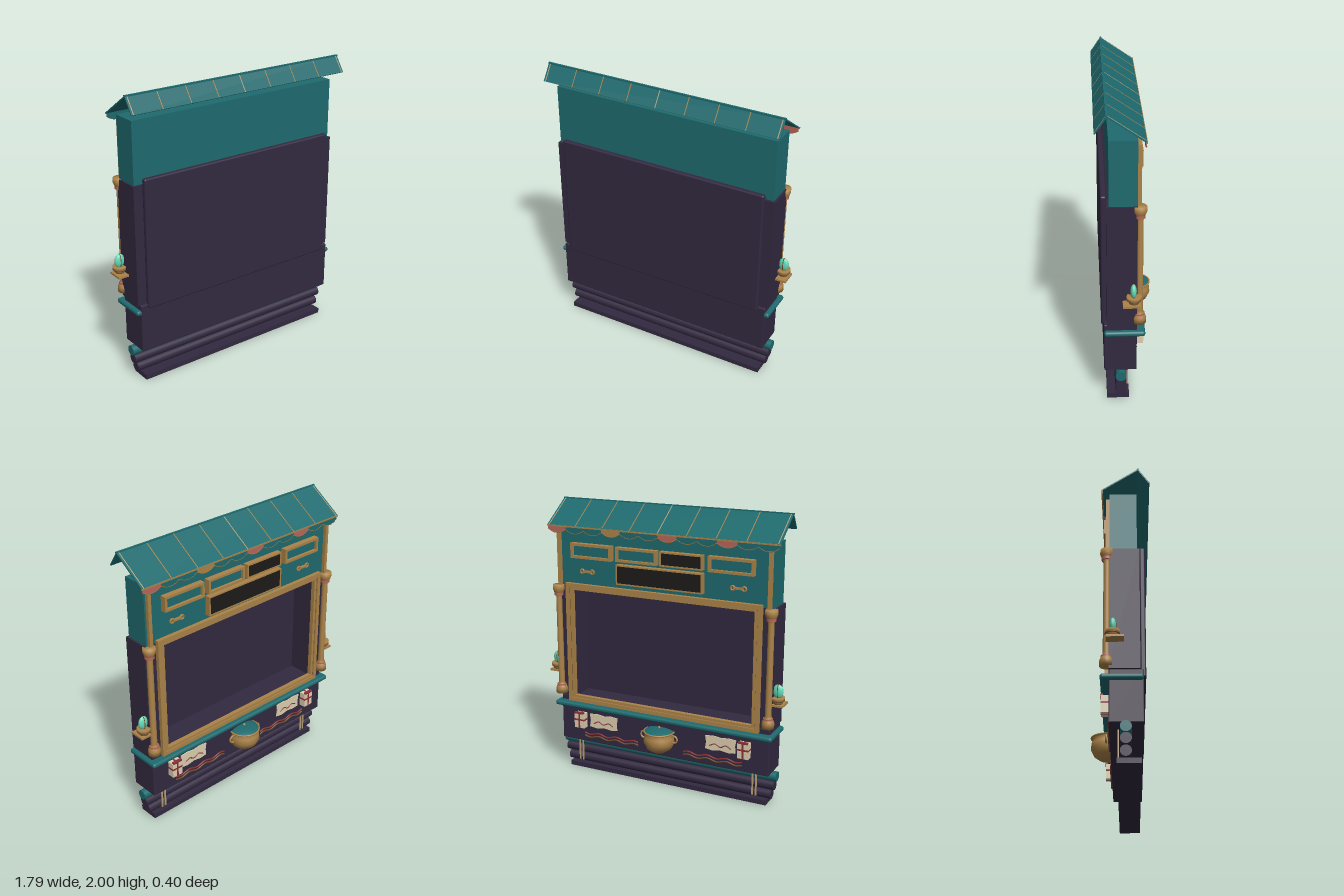
import * as THREE from 'three';
import { RoundedBoxGeometry } from 'three/addons/geometries/RoundedBoxGeometry.js';

const mat = (name, color) => {
  const m = new THREE.MeshStandardMaterial({ color, side: THREE.DoubleSide });
  m.name = name;
  return m;
};

export function createModel() {
  const root = new THREE.Group();
  root.name = 'stall';
  const teal = mat('teal', 0x1e6a6e), plum = mat('plum', 0x322940), gold = mat('gold', 0xab8349),
    black = mat('black', 0x1c1b19), mint = mat('mint', 0x66d9b8), coral = mat('coral', 0xb8655a),
    cream = mat('cream', 0xdccfb0), red = mat('red', 0x8c3038), brown = mat('brown', 0x6e4c2c),
    paleGold = mat('paleGold', 0xb8a078);

  const add = (name, geo, m, x = 0, y = 0, z = 0) => {
    const mesh = new THREE.Mesh(geo, m);
    mesh.name = name;
    mesh.position.set(x, y, z);
    root.add(mesh);
    return mesh;
  };
  const box = (name, m, w, h, d, x, y, z) => add(name, new THREE.BoxGeometry(w, h, d), m, x, y, z);
  const round = (name, m, w, h, d, x, y, z, r) =>
    add(name, new RoundedBoxGeometry(w, h, d, 3, r), m, x, y, z);
  const lathe = (name, m, pts, x, y, z) =>
    add(name, new THREE.LatheGeometry(pts.map(p => new THREE.Vector2(...p)), 24), m, x, y, z);
  const tube = (name, m, pts, r) => add(name, new THREE.TubeGeometry(
    new THREE.CatmullRomCurve3(pts.map(p => new THREE.Vector3(...p))), pts.length * 4, r, 6), m);
  // rectangular picture-frame moulding, w and h are the outer size
  const frame = (name, m, w, h, t, d, x, y, z) => {
    const rect = (S, a, b) => {
      const s = new S();
      s.moveTo(-a, -b); s.lineTo(a, -b); s.lineTo(a, b); s.lineTo(-a, b); s.closePath();
      return s;
    };
    const shape = rect(THREE.Shape, w / 2, h / 2);
    shape.holes.push(rect(THREE.Path, w / 2 - t, h / 2 - t));
    add(name, new THREE.ExtrudeGeometry(shape, { depth: d, bevelEnabled: false }), m, x, y, z - d / 2);
  };

  // base plank and stacked logs
  box('basePlank', plum, 1.56, 0.035, 0.145, 0, 0.0175, 0.06);
  [[0.07, 1.61, plum], [0.14, 1.65, plum], [0.207, 1.68, teal]].forEach(([y, len, m]) => {
    add('log', new THREE.CylinderGeometry(0.035, 0.035, len, 24), m, 0, y, 0.042).rotation.z = Math.PI / 2;
  });

  // body
  round('lowerCabinet', plum, 1.62, 0.34, 0.21, 0, 0.41, 0.045, 0.006);
  round('ledge', teal, 1.68, 0.036, 0.262, 0, 0.525, 0.018, 0.016);
  round('backPanel', plum, 1.52, 0.905, 0.037, 0, 1.0025, 0.147, 0.012);
  box('upperCabinet', teal, 1.62, 0.42, 0.175, 0, 1.62, 0.0275);

  // gold mouldings round the opening
  frame('openingTrimOuter', gold, 1.475, 0.88, 0.028, 0.035, 0, 0.99, -0.07);
  frame('openingTrimInner', gold, 1.41, 0.825, 0.02, 0.03, 0, 0.99, -0.065);
  frame('openingTrimLine', brown, 1.424, 0.838, 0.01, 0.03, 0, 0.99, -0.062);

  for (const s of [-1, 1]) {
    box('sideWall', plum, 0.125, 0.83, 0.19, s * 0.76, 0.995, 0.035);
    box('cornerStrip', gold, 0.025, 0.39, 0.025, s * 0.785, 1.605, -0.072);

    // column with broad cap and foot
    lathe('column', gold, [[0, 0.6], [0.042, 0.6], [0.043, 0.635], [0.036, 0.655], [0.027, 0.67],
      [0.022, 0.685], [0.021, 1.32], [0.026, 1.34], [0.036, 1.36], [0.043, 1.38], [0.042, 1.41],
      [0, 1.41]], s * 0.8, 0, -0.075);
    for (const [y, r, h] of [[0.662, 0.034, 0.014], [1.346, 0.033, 0.024]])
      add('columnRing', new THREE.CylinderGeometry(r, r, h, 24), coral, s * 0.8, y, -0.075);

    // side shelf, bowl and banded egg
    box('sideShelf', gold, 0.09, 0.014, 0.11, s * 0.852, 0.761, -0.023);
    lathe('bowl', gold, [[0, 0.766], [0.03, 0.766], [0.036, 0.78], [0.046, 0.8], [0.047, 0.815],
      [0, 0.808]], s * 0.85, 0, -0.038);
    add('bowlBand', new THREE.TorusGeometry(0.043, 0.004, 6, 24), brown, s * 0.85, 0.792, -0.038)
      .rotation.x = Math.PI / 2;
    add('egg', new THREE.SphereGeometry(1, 20, 14), mint, s * 0.85, 0.852, -0.035).scale.set(0.036, 0.048, 0.02);
    const band = add('eggBand', new THREE.TorusGeometry(0.048, 0.003, 6, 24), brown, s * 0.85, 0.852, -0.035);
    band.scale.x = 0.42;
    band.rotation.y = Math.PI / 2;

    // wrapped gift with ribbon
    box('gift', cream, 0.08, 0.11, 0.05, s * 0.64, 0.412, -0.085);
    box('giftRibbonUpright', red, 0.013, 0.114, 0.054, s * 0.64, 0.412, -0.085);
    box('giftRibbonAcross', red, 0.084, 0.012, 0.054, s * 0.64, 0.42, -0.085);
    box('giftBow', red, 0.07, 0.012, 0.02, s * 0.64, 0.472, -0.105);

    // torn sheet with a wavy line
    const sheet = new THREE.Shape();
    sheet.moveTo(-0.11, -0.048);
    [[-0.06, -0.054], [0, -0.045], [0.06, -0.056], [0.115, -0.048], [0.107, 0], [0.115, 0.048],
      [0.05, 0.053], [0, 0.046], [-0.06, 0.053], [-0.115, 0.048], [-0.107, 0]].forEach(p => sheet.lineTo(...p));
    add('sheet', new THREE.ExtrudeGeometry(sheet, { depth: 0.007, bevelEnabled: false }), cream,
      s * 0.46, 0.415, -0.069);
    tube('sheetLine', red, [-0.08, -0.04, 0, 0.04, 0.08].map((x, i) =>
      [s * 0.46 + x, 0.402 + (i % 2 ? 0.01 : -0.008), -0.07]), 0.004);

    // garlands
    [red, brown].forEach((m, k) => {
      const pts = [];
      for (let i = 0; i <= 16; i++)
        pts.push([s * (0.18 + i * 0.0275), 0.308 - k * 0.022 + 0.008 * Math.sin(i * 1.2), -0.066]);
      tube('garland', m, pts, 0.006);
    });

    // hanging ties over the logs
    for (const dx of [-0.013, 0.013])
      box('tie', paleGold, 0.011, 0.175, 0.008, s * 0.69 + dx, 0.145, -0.004);

    // small scroll handle on the upper cabinet
    for (const dx of [-0.04, 0.04])
      add('scroll', new THREE.TorusGeometry(0.014, 0.007, 6, 16), gold, s * 0.566 + dx, 1.52, -0.068);
    box('scrollBar', gold, 0.07, 0.014, 0.016, s * 0.566, 1.52, -0.068);
  }

  // framed panels on the upper cabinet
  for (const [x, y, w, h, m, t] of [[0.52, 1.668, 0.32, 0.105, teal, 0.018], [0.17, 1.669, 0.31, 0.1, teal, 0.016],
    [-0.165, 1.669, 0.31, 0.1, black, 0.011], [-0.52, 1.668, 0.32, 0.105, teal, 0.018],
    [0, 1.53, 0.645, 0.138, black, 0.01]]) {
    frame('panelFrame', gold, w, h, t, 0.04, x, y, -0.08);
    box('panelFill', m, w - t * 1.8, h - t * 1.8, 0.03, x, y, m === black ? -0.082 : -0.066);
  }

  // pot with lid and ring handles
  lathe('pot', gold, [[0, 0.282], [0.05, 0.287], [0.09, 0.315], [0.111, 0.36], [0.107, 0.4], [0.092, 0.425],
    [0.106, 0.438]], 0, 0, -0.085);
  add('potRim', new THREE.TorusGeometry(0.107, 0.006, 8, 32), gold, 0, 0.438, -0.085).rotation.x = Math.PI / 2;
  lathe('potLid', teal, [[0.105, 0.441], [0.085, 0.451], [0.045, 0.459], [0, 0.461]], 0, 0, -0.085);
  add('lidKnob', new THREE.SphereGeometry(0.01, 12, 8), gold, 0, 0.465, -0.085);
  for (const s of [-1, 1])
    add('potHandle', new THREE.TorusGeometry(0.026, 0.007, 8, 20), gold, s * 0.115, 0.395, -0.09);

  // thin slab spanning two points of the side profile
  const slope = (name, m, w, t, x, z1, y1, z2, y2, lift = 0) => {
    const len = Math.hypot(z2 - z1, y2 - y1);
    box(name, m, w, t, len, x, (y1 + y2) / 2 + lift, (z1 + z2) / 2).rotation.x = -Math.atan2(y2 - y1, z2 - z1);
  };
  const long = [-0.108, 1.835, 0.125, 1.993], short = [0.125, 1.993, 0.196, 1.89];
  slope('roofLong', teal, 1.71, 0.008, 0, ...long);
  slope('roofShort', teal, 1.71, 0.008, 0, ...short);
  box('roofRidge', teal, 1.714, 0.01, 0.014, 0, 1.995, 0.125);
  box('eaveTrim', gold, 1.714, 0.01, 0.01, 0, 1.834, -0.108);
  for (let i = -4; i <= 4; i++) {
    const m = i % 4 === 0 ? paleGold : gold;
    slope('roofRib', m, 0.006, 0.008, i * 0.21, ...long, 0.002);
    slope('roofRib', m, 0.006, 0.008, i * 0.21, ...short, 0.002);
  }

  // scalloped valance under the eave, every third scallop in an accent colour
  const pitch = 1.7 / 12, half = pitch / 2;
  for (let i = 0; i < 12; i++) {
    const x = 0.85 - half - i * pitch;
    const m = i % 3 ? teal : i === 3 ? gold : coral;
    const scallop = new THREE.Shape();
    scallop.moveTo(-half, 0.012);
    scallop.lineTo(-half, -0.012);
    scallop.quadraticCurveTo(0, -0.062, half, -0.012);
    scallop.lineTo(half, 0.012);
    add('valance', new THREE.ExtrudeGeometry(scallop, { depth: 0.006, bevelEnabled: false, curveSegments: 10 }),
      m, x, 1.823, -0.108);
    tube('valanceEdge', gold, [[x - half, 1.811, -0.106], [x - half / 2, 1.792, -0.106], [x, 1.786, -0.106],
      [x + half / 2, 1.792, -0.106], [x + half, 1.811, -0.106]], 0.003);
  }

  return root;
}
